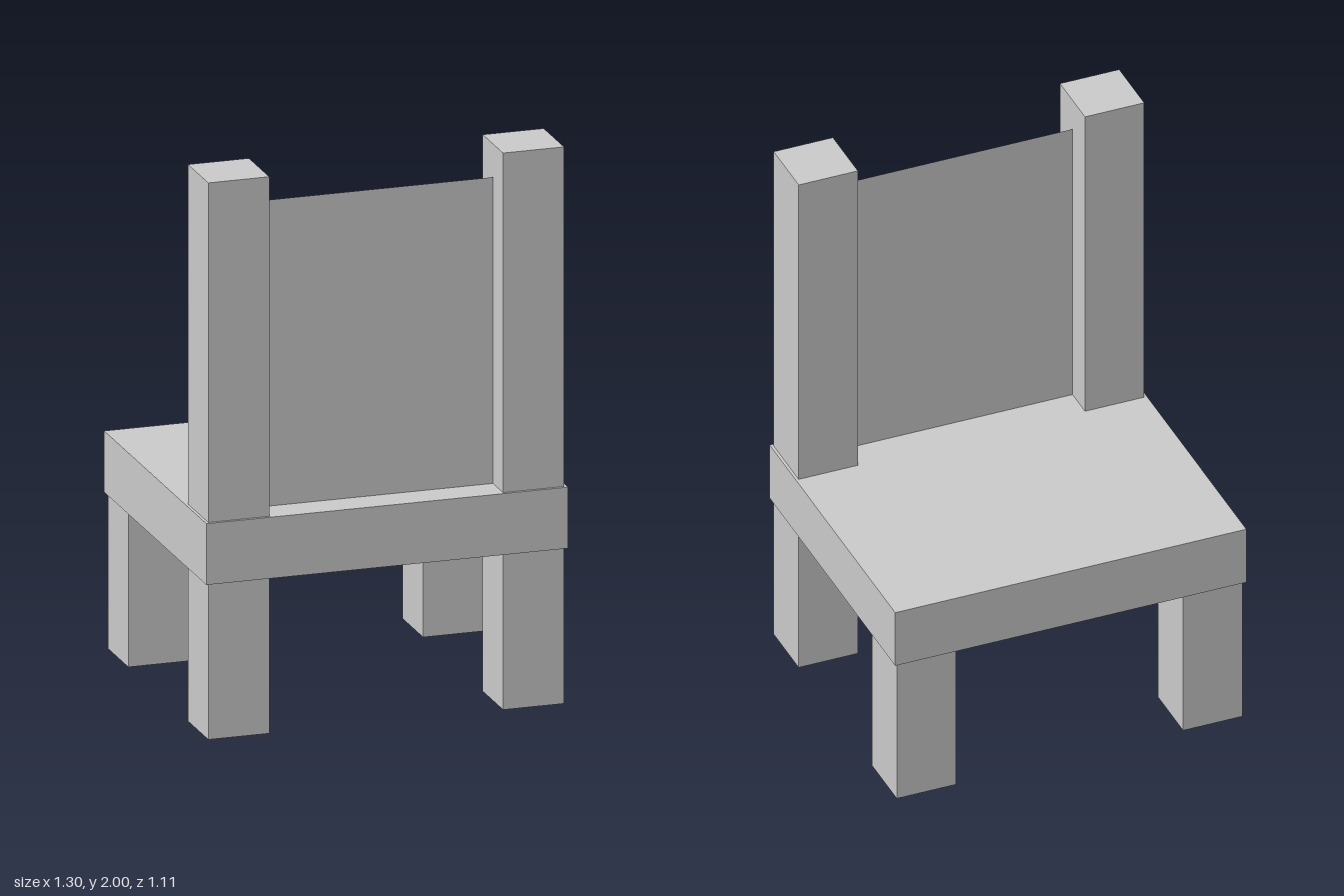
import * as THREE from 'three';

const material = new THREE.MeshStandardMaterial({ color: 0xcccccc, flatShading: true });
const panelMaterial = new THREE.MeshStandardMaterial({ color: 0xcccccc, side: THREE.DoubleSide });

const SEAT_BOTTOM = 0.56, SEAT_TOP = 0.78;
const POST = 0.22; // square section of legs and posts
const POST_X = 0.532, POST_Z = 0.432;

// Box standing on a given height
function block(name, w, h, d, x, bottom, z) {
  const mesh = new THREE.Mesh(new THREE.BoxGeometry(w, h, d), material);
  mesh.name = name;
  mesh.position.set(x, bottom + h / 2, z);
  return mesh;
}

export function createModel() {
  const chair = new THREE.Group();
  chair.name = 'chair';

  // Seat slab
  chair.add(block('seat', 1.305, SEAT_TOP - SEAT_BOTTOM, 1.106, 0, SEAT_BOTTOM, 0));

  // Short legs, and tall posts that run from the ground to the top of the backrest
  for (const [side, s] of [['left', 1], ['right', -1]]) {
    chair.add(block(side + 'ShortLeg', POST, SEAT_BOTTOM, POST, s * POST_X, 0, -POST_Z));
    chair.add(block(side + 'BackrestPost', POST, 2, POST, s * POST_X, 0, POST_Z));
  }

  // Thin backrest panel midway through the depth of the posts
  const panelTop = 1.88;
  const panel = new THREE.Mesh(
    new THREE.PlaneGeometry(2 * POST_X - POST, panelTop - SEAT_TOP), panelMaterial);
  panel.name = 'backrestPanel';
  panel.position.set(0, (panelTop + SEAT_TOP) / 2, POST_Z);
  chair.add(panel);

  return chair;
}
